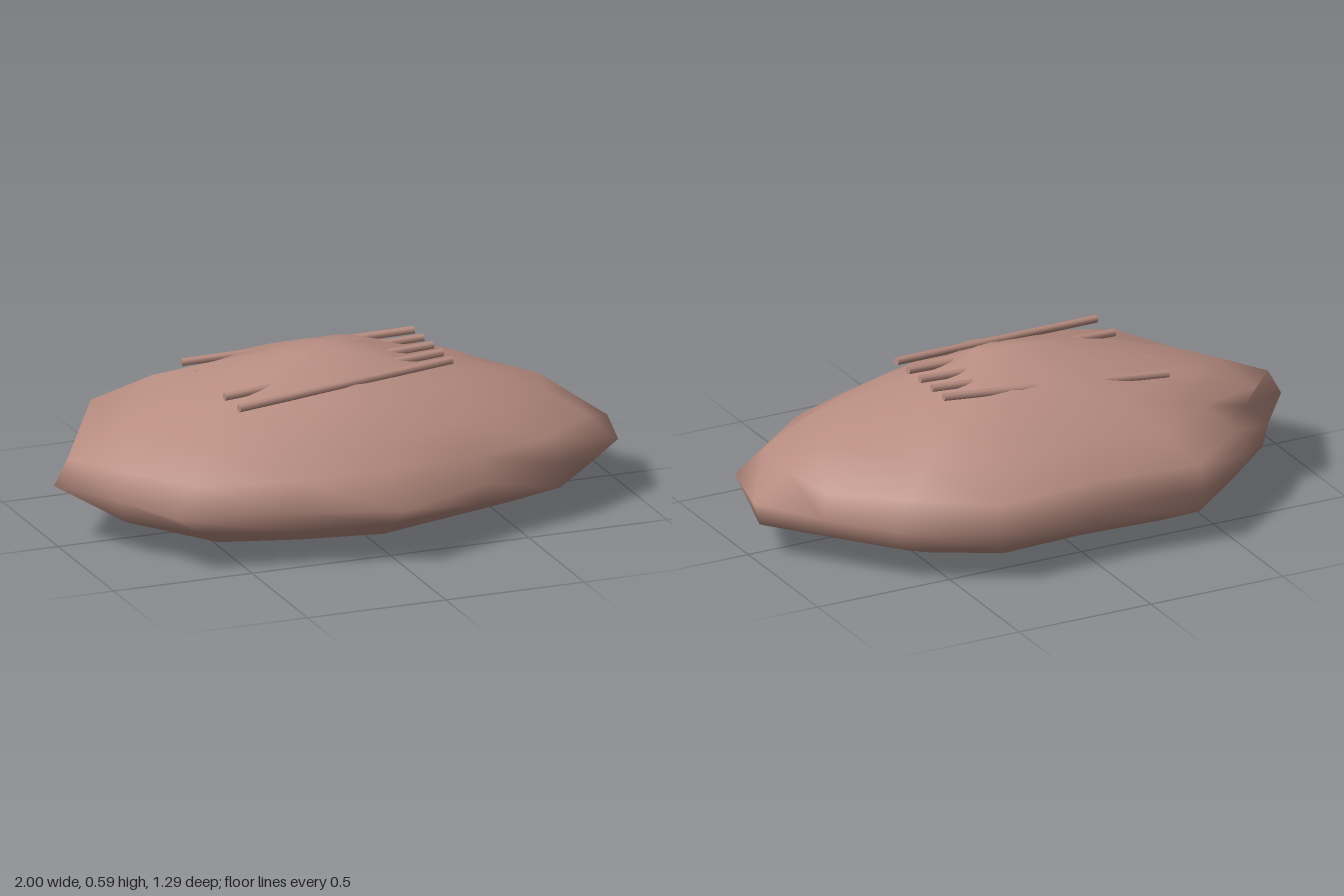
import * as THREE from 'three';

const flesh = new THREE.MeshStandardMaterial({ color: 0xb88d81 });
flesh.name = 'dusty pink brown';

const CENTRE_Z = -0.04;
const RINGS = 10;

// Widest outline of the slab as (x, z) around its centre
const OUTLINE = [
  [1, 0], [0.94, 0.25], [0.66, 0.42], [0.36, 0.52],
  [0, 0.68], [-0.37, 0.56], [-0.75, 0.48], [-0.86, 0.23],
  [-1, 0], [-0.84, -0.21], [-0.65, -0.42], [-0.39, -0.61],
  [0, -0.59], [0.39, -0.61], [0.69, -0.44], [0.86, -0.23],
];
// Share of the outline reached by each ring, top to bottom
const SPREAD = [0, 0.17, 0.35, 0.55, 0.75, 0.95, 1, 0.94, 0.76, 0.38, 0];
// Local dents and bulges: for each ring, outline point -> scale, or [x scale, z scale]
const DENTS = {
  1: { 0: 0.7, 3: 0.8, 4: 0.6, 5: 0.65, 6: 0.7, 7: 0.85 },
  2: {
    0: 0.57, 1: 0.63, 2: 0.83, 3: 0.8, 4: 0.62, 5: 0.6, 6: 0.6, 7: 0.7,
    9: [1.05, 1.5], 13: 0.87, 14: 0.87, 15: 0.82,
  },
  3: { 0: 0.88, 1: 0.94, 4: 0.92, 6: 0.93, 7: 0.87, 9: [1.2, 2], 10: 1.1, 11: 1.06, 13: 1.06 },
  4: { 4: 0.96, 9: [1.19, 1.85], 10: 1.08, 11: 1.05, 13: 1.05 },
  5: { 0: 0.92, 1: 0.94, 4: 0.79, 5: 0.96, 6: 0.93, 9: [0.93, 1.15], 11: 1.02, 13: 1.02, 14: 0.96, 15: 1.03 },
  7: { 0: 1.04, 1: 0.96, 2: 1.07, 4: 0.88, 6: 0.91, 7: 1.02, 8: 0.89, 9: 1.04, 11: 1.03, 13: 0.97 },
  8: { 1: 0.96, 2: 1.02, 4: 0.92, 6: 0.96, 8: 0.98 },
  9: { 4: 0.88 },
};

// Lumpy slab made from stacked rings between two poles
function bodyGeometry() {
  const n = OUTLINE.length;
  const positions = [];
  const index = [];
  for (let i = 0; i <= RINGS; i++) {
    const y = 0.3 + 0.293 * Math.cos((i / RINGS) * Math.PI);
    OUTLINE.forEach(([x, z], j) => {
      const [sx, sz = sx] = [DENTS[i]?.[j] ?? 1].flat();
      positions.push(x * SPREAD[i] * sx, y, z * SPREAD[i] * sz + CENTRE_Z);
    });
  }
  const at = (i, j) => (i === 0 || i === RINGS ? i * n : i * n + (j % n));
  for (let i = 0; i < RINGS; i++) {
    for (let j = 0; j < n; j++) {
      const a = at(i, j), b = at(i + 1, j), c = at(i, j + 1), d = at(i + 1, j + 1);
      if (i > 0) index.push(a, c, b);
      if (i < RINGS - 1) index.push(c, d, b);
    }
  }
  const geometry = new THREE.BufferGeometry();
  geometry.setAttribute('position', new THREE.Float32BufferAttribute(positions, 3));
  geometry.setIndex(index);
  geometry.computeVertexNormals();
  return geometry;
}

// Round rod between two points
function rod(start, end, radius) {
  const along = end.clone().sub(start);
  const mesh = new THREE.Mesh(new THREE.CylinderGeometry(radius, radius, along.length(), 8), flesh);
  mesh.position.copy(start).add(end).multiplyScalar(0.5);
  mesh.quaternion.setFromUnitVectors(new THREE.Vector3(0, 1, 0), along.normalize());
  return mesh;
}

export function createModel() {
  const model = new THREE.Group();
  model.name = 'slab';

  const body = new THREE.Mesh(bodyGeometry(), flesh);
  body.name = 'body';
  model.add(body);

  // Five ridges fanning gently across the top
  const ridges = new THREE.Group();
  ridges.name = 'ridges';
  for (let k = -2; k <= 2; k++) {
    const ridge = rod(
      new THREE.Vector3(-0.435, 0.494, CENTRE_Z + k * 0.13),
      new THREE.Vector3(0.37, 0.536, CENTRE_Z + k * 0.085),
      0.014,
    );
    ridge.name = `ridge${k + 3}`;
    ridges.add(ridge);
  }
  model.add(ridges);
  return model;
}
